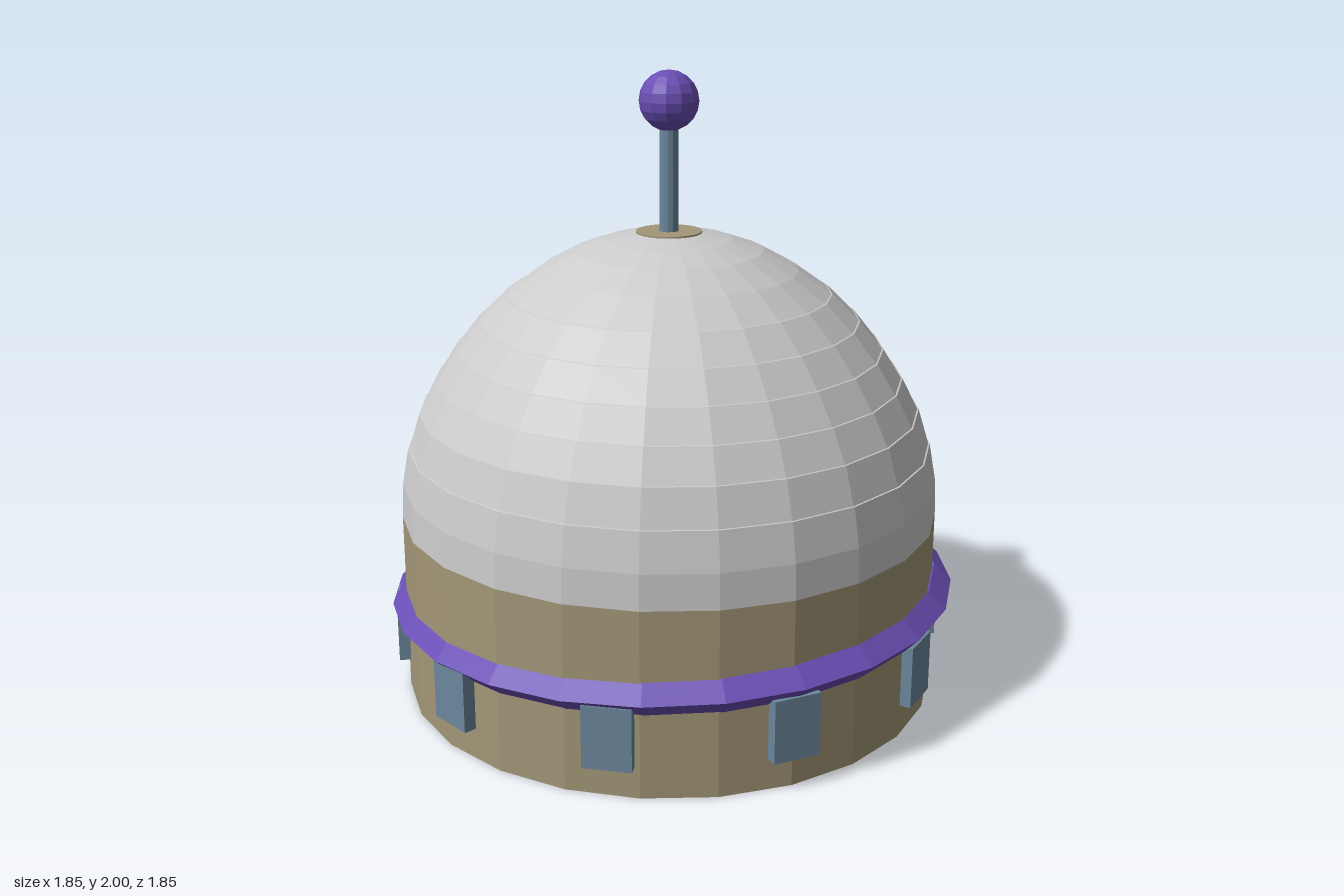
import * as THREE from 'three';

const SIDES = 24;
const material = (color, extra = {}) =>
  new THREE.MeshStandardMaterial({ color, flatShading: true, ...extra });

export function createModel() {
  const model = new THREE.Group();
  model.name = 'domedBuilding';
  const tan = material(0xa39778);
  const purple = material(0x6a4fb5);
  const blue = material(0x6b879c);
  const grey = material(0xcccccc, { side: THREE.DoubleSide });

  // Everything but the tilted hoop shares this slightly shifted axis
  const core = new THREE.Group();
  core.name = 'core';
  core.position.x = -0.01;
  model.add(core);

  const add = (name, geometry, mat, parent = core) => {
    const mesh = new THREE.Mesh(geometry, mat);
    mesh.name = name;
    parent.add(mesh);
    return mesh;
  };

  // Drum wall
  add('drumWall', new THREE.CylinderGeometry(0.87, 0.87, 0.59, SIDES).translate(0, 0.295, 0), tan);

  // Dome with thin ledges between its courses
  const courses = [
    [0.87, 0.59], [0.865, 0.7], [0.843, 0.82], [0.803, 0.935], [0.748, 1.035], [0.684, 1.13],
    [0.608, 1.22], [0.518, 1.305], [0.41, 1.38], [0.3, 1.44], [0.2, 1.475], [0.1, 1.496],
  ];
  const profile = [];
  courses.forEach(([r, y], i) => {
    profile.push(new THREE.Vector2(r, y));
    if (i > 1 && i < 8) profile.push(new THREE.Vector2(r - 0.005, y + 0.001));
  });
  add('dome', new THREE.LatheGeometry(profile, SIDES), grey);

  // Cap plate, mast and ball
  add('capPlate', new THREE.CylinderGeometry(0.105, 0.105, 0.012, SIDES).translate(0, 1.494, 0), tan);
  add('mast', new THREE.CylinderGeometry(0.03, 0.03, 0.36, 12).translate(0, 1.66, 0), blue);
  add('mastBall', new THREE.SphereGeometry(0.094, 12, 10).translate(0, 1.906, 0), purple);

  // Blocks around the foot of the wall
  for (let i = 0; i < 10; i++) {
    const block = add('wallBlock', new THREE.BoxGeometry(0.15, 0.2, 0.1).translate(0, 0.2, 0.85), blue);
    block.rotation.y = (i * Math.PI * 2) / 10;
  }

  // Slightly tilted hoop with a diamond section
  const hoop = add('hoop', new THREE.TorusGeometry(0.87, 0.055, 4, SIDES).rotateX(Math.PI / 2), purple, model);
  hoop.position.y = 0.318;
  hoop.rotation.set(-0.017, 0, 0.027);

  return model;
}
